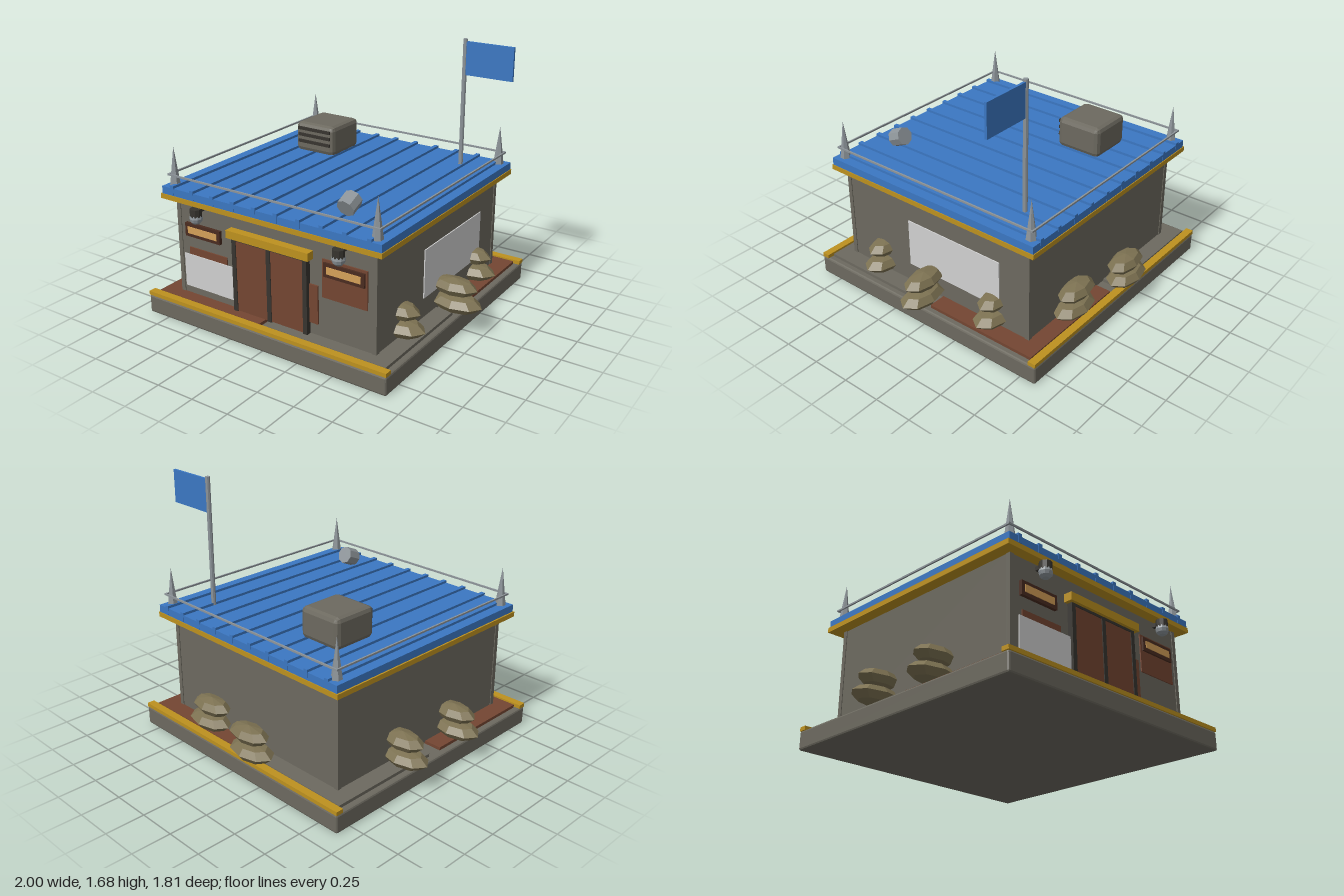
import * as THREE from 'three';
import { RoundedBoxGeometry } from 'three/addons/geometries/RoundedBoxGeometry.js';

const mat = (name, color) => {
  const m = new THREE.MeshStandardMaterial({ color });
  m.name = name;
  return m;
};

export function createModel() {
  const root = new THREE.Group();
  root.name = 'guardPost';

  const concrete = mat('concrete', 0x6c695f);
  const blue = mat('blue', 0x3b77c2);
  const gold = mat('gold', 0xbd911f);
  const rust = mat('rust', 0x744632);
  const darkRust = mat('darkRust', 0x4a2c20);
  const dark = mat('dark', 0x37342f);
  const sand = mat('sandbag', 0x7d7252);
  const metal = mat('metal', 0x8d9499);
  const white = mat('white', 0xd0d0d0);
  const amber = mat('amber', 0xd5a058);

  // faceted normals for low-poly parts
  const flat = (g) => {
    const f = g.index ? g.toNonIndexed() : g;
    f.computeVertexNormals();
    return f;
  };
  const add = (name, geo, material, x = 0, y = 0, z = 0) => {
    const m = new THREE.Mesh(geo, material);
    m.name = name;
    m.position.set(x, y, z);
    root.add(m);
    return m;
  };
  // box given by its limits; bevel > 0 chamfers the edges
  const box = (name, material, x0, x1, y0, y1, z0, z1, bevel = 0) => {
    const s = [x1 - x0, y1 - y0, z1 - z0];
    const g = bevel ? flat(new RoundedBoxGeometry(...s, 1, bevel)) : new THREE.BoxGeometry(...s);
    return add(name, g, material, (x0 + x1) / 2, (y0 + y1) / 2, (z0 + z1) / 2);
  };

  // base slab, chequered floor plates and gold kerbs
  box('base', concrete, -0.9, 0.86, 0, 0.12, -0.86, 0.9, 0.012);
  [[-0.86, -0.06], [0.02, 0.82]].forEach(([x0, x1], i) =>
    [[-0.8, -0.03], [0.07, 0.84]].forEach(([z0, z1], j) =>
      box('floorPlate', i === j ? concrete : rust, x0, x1, 0.115, 0.14, z0, z1)));
  box('frontKerb', gold, -0.9, 0.86, 0.12, 0.145, 0.85, 0.9);
  box('backKerb', gold, -0.9, 0.86, 0.12, 0.145, -0.86, -0.81);

  // walls with corner posts
  box('walls', concrete, -0.745, 0.705, 0.13, 0.78, -0.695, 0.755);
  for (const x of [-0.75, 0.68]) {
    for (const z of [-0.7, 0.73]) box('cornerPost', concrete, x, x + 0.03, 0.13, 0.78, z, z + 0.03);
  }

  // roof: gold fascia, blue deck, standing ribs
  box('roofTrim', gold, -0.82, 0.775, 0.768, 0.8, -0.775, 0.82);
  box('roofDeck', blue, -0.81, 0.77, 0.8, 0.848, -0.77, 0.815);
  for (let i = 0; i < 10; i++) {
    const x = -0.73 + i * 0.158;
    box('roofRib', blue, x - 0.014, x + 0.014, 0.805, 0.864, -0.772, 0.817);
  }

  // corner spikes and wire rails
  for (const x of [-0.75, 0.71]) {
    for (const z of [-0.71, 0.76]) {
      add('spike', flat(new THREE.ConeGeometry(0.034, 0.25, 6)), metal, x, 0.972, z);
    }
  }
  for (const z of [-0.74, 0.785]) box('wireRail', metal, -0.785, 0.745, 0.914, 0.925, z - 0.005, z + 0.005);
  for (const x of [-0.78, 0.74]) box('wireRail', metal, x - 0.005, x + 0.005, 0.914, 0.925, -0.74, 0.785);

  // roof ventilation unit with louvres
  box('ventUnit', concrete, -0.535, -0.235, 0.855, 1.055, -0.49, -0.185, 0.03);
  for (const y of [0.93, 0.975, 1.018]) box('louvre', dark, -0.51, -0.26, y - 0.01, y + 0.01, -0.19, -0.175);

  // tilted floodlight drum
  const drum = add('floodlight', flat(new THREE.CylinderGeometry(0.058, 0.058, 0.095, 8)), metal, 0.408, 0.927, 0.578);
  drum.rotation.x = Math.PI / 2 + 0.42;

  // flagpole and flag
  add('flagPole', flat(new THREE.CylinderGeometry(0.015, 0.015, 0.84, 8)), metal, 0.53, 1.26, -0.525);
  box('flag', blue, 0.54, 0.86, 1.453, 1.665, -0.533, -0.517);

  // double door with dark frame and gold lintel
  for (const [x0, x1] of [[-0.295, -0.265], [-0.037, -0.007], [0.225, 0.255]]) {
    box('doorFrame', dark, x0, x1, 0.14, 0.62, 0.75, 0.79);
  }
  box('doorHead', dark, -0.295, 0.255, 0.605, 0.625, 0.75, 0.79);
  box('leftLeaf', rust, -0.007, 0.225, 0.145, 0.605, 0.75, 0.785);
  box('rightLeaf', rust, -0.265, -0.037, 0.145, 0.605, 0.75, 0.785);
  box('lintel', gold, -0.32, 0.28, 0.62, 0.67, 0.75, 0.81);

  // rusty wall patches and pale panels
  box('rustPatch', rust, 0.345, 0.65, 0.4, 0.64, 0.75, 0.763);
  box('rustPatch', rust, -0.66, -0.36, 0.25, 0.46, 0.75, 0.763);
  box('rustPatch', rust, 0.25, 0.315, 0.215, 0.46, 0.75, 0.766);
  box('frontPanel', white, -0.695, -0.295, 0.195, 0.415, 0.767, 0.773);
  box('sidePanel', white, 0.705, 0.712, 0.27, 0.585, -0.48, 0.235);

  // slit windows and lamps on both sides of the door
  for (const s of [-1, 1]) {
    const x = -0.02 + s * 0.518;
    box('windowFrame', darkRust, x - 0.138, x + 0.138, 0.58 - 0.042, 0.625, 0.75, 0.775);
    box('windowGlass', amber, x - 0.115, x + 0.115, 0.56, 0.604, 0.773, 0.779);
    add('lampCap', flat(new THREE.CylinderGeometry(0.037, 0.037, 0.05, 10)), dark, x, 0.736, 0.82);
    add('lampBulb', flat(new THREE.SphereGeometry(0.041, 10, 6)), metal, x, 0.7, 0.82);
    box('lampArm', dark, x - 0.012, x + 0.012, 0.73, 0.755, 0.75, 0.82);
  }

  // stacked sandbags around the walls
  const bag = flat(new THREE.SphereGeometry(1, 8, 4));
  const stacks = [[0.825, 0.03], [0.69, 0.475], [0.69, -0.43], [-0.83, -0.22], [-0.83, 0.26], [-0.14, -0.81], [0.33, -0.745]];
  for (const [x, z] of stacks) {
    add('lowerSandbag', bag, sand, x, 0.19, z).scale.set(0.17, 0.056, 0.1);
    add('upperSandbag', bag, sand, x - Math.sign(x) * 0.02, 0.296, z).scale.set(0.155, 0.056, 0.085);
  }

  return root;
}
